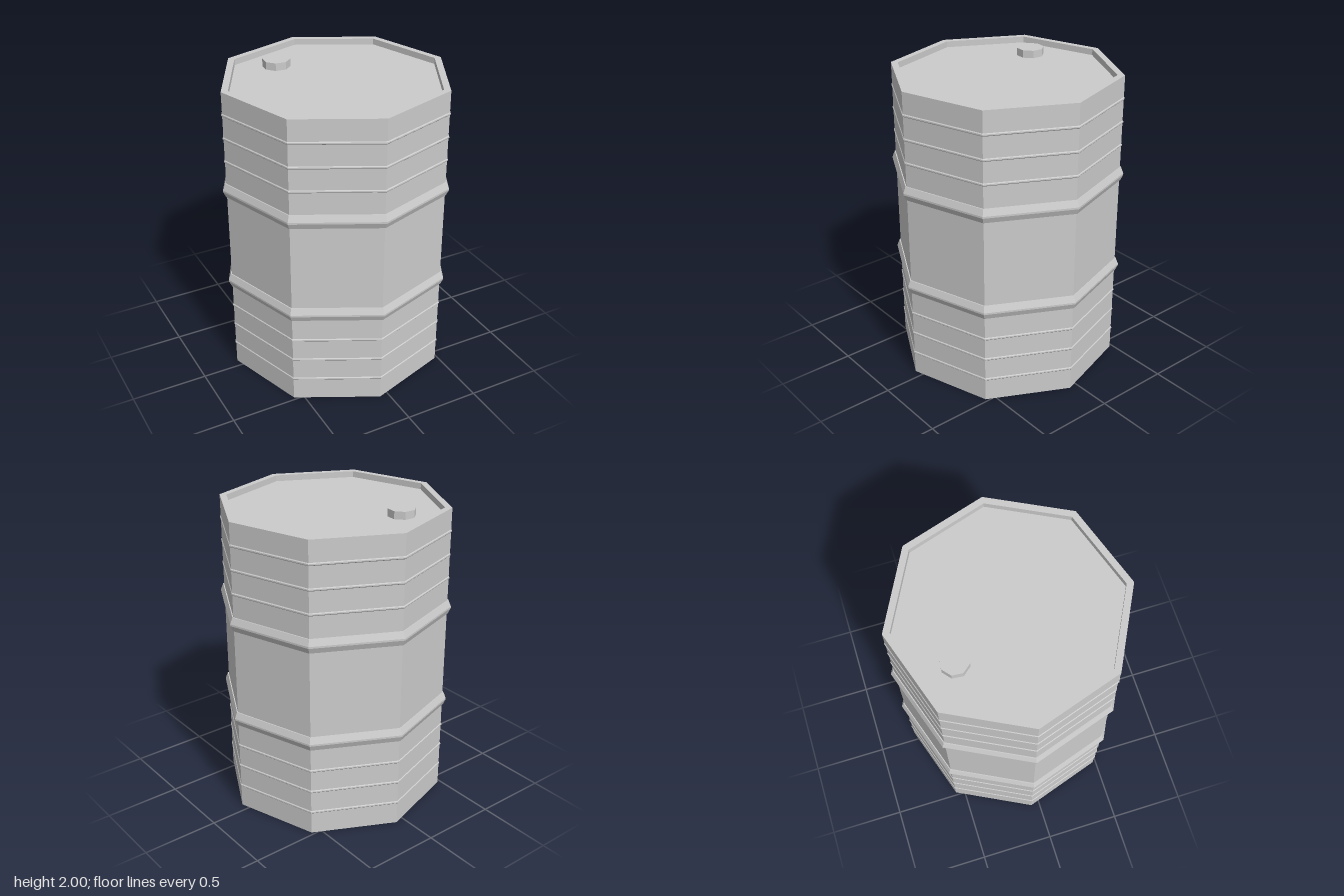
import * as THREE from 'three';

const SIDES = 8;
const TURN = -0.08; // slight twist of the octagon about y
const R = 0.74;

// Faceted solid of revolution; profile runs bottom to top as [radius, y]
function lathe(name, profile, material, turn = TURN) {
  const points = profile.map(([r, y]) => new THREE.Vector2(r, y));
  const mesh = new THREE.Mesh(new THREE.LatheGeometry(points, SIDES, turn, Math.PI * 2), material);
  mesh.name = name;
  return mesh;
}

export function createModel() {
  const group = new THREE.Group();
  group.name = 'barrel';
  const metal = new THREE.MeshStandardMaterial({ color: 0xcccccc, flatShading: true });

  // Drum with closed bottom, raised rim and recessed lid
  group.add(lathe('drum', [
    [0, 0], [R, 0], [R, 1.99], [0.695, 1.99], [0.695, 1.95], [0, 1.95],
  ], metal));

  // Two heavy rolling hoops
  for (const y of [0.667, 1.333]) {
    group.add(lathe('rollingHoop', [
      [R - 0.01, y - 0.046], [R + 0.007, y - 0.046], [R + 0.024, y - 0.008],
      [R + 0.024, y + 0.004], [R + 0.007, y + 0.046], [R - 0.01, y + 0.046],
    ], metal));
  }

  // Fine ribs, three below and three above the hoops
  for (const y of [0.157, 0.312, 0.465, 1.532, 1.687, 1.842]) {
    group.add(lathe('rib', [
      [R - 0.005, y - 0.015], [R + 0.005, y - 0.004], [R + 0.005, y + 0.004], [R - 0.005, y + 0.015],
    ], metal));
  }

  // Filler cap on the lid
  const cap = lathe('fillerCap', [[0.09, 1.94], [0.09, 2], [0, 2]], metal, 0.31);
  cap.position.set(-0.22, 0, -0.39);
  group.add(cap);

  return group;
}
